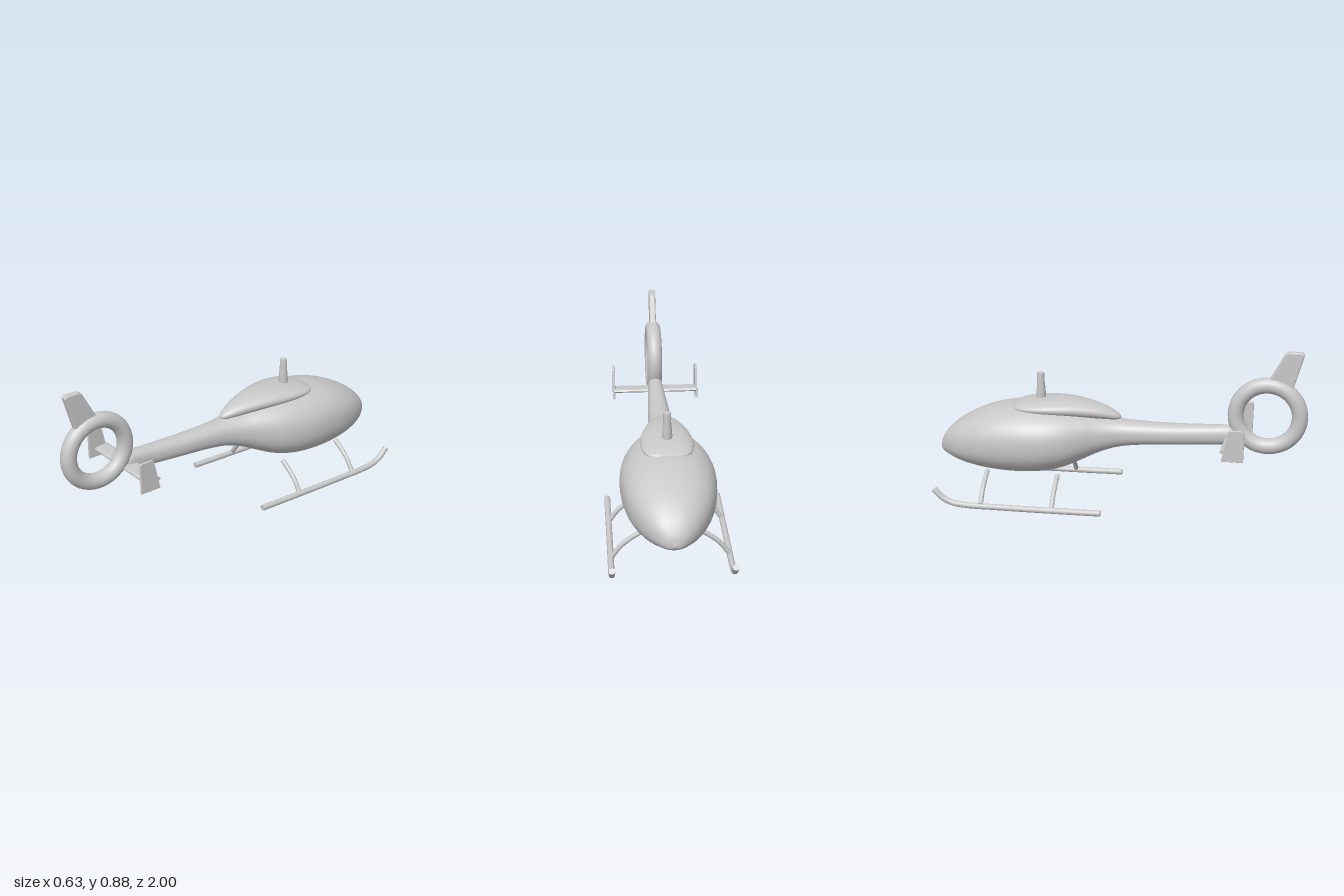
import * as THREE from 'three';

const paint = new THREE.MeshStandardMaterial({ color: 0xc8c8c8 });
paint.name = 'light grey';

// Smooth hull through stations [z, bottom, top, halfWidth] with superelliptic sections
function loft(stations, power, steps, sides = 56) {
  const heights = new THREE.CatmullRomCurve3(
    stations.map(([z, b, t]) => new THREE.Vector3(z, b, t)), false, 'catmullrom', 0.5);
  const widths = new THREE.CatmullRomCurve3(
    stations.map(([z, , , w]) => new THREE.Vector3(z, w, 0)), false, 'catmullrom', 0.5);
  const pos = [], index = [];
  const round = (v) => Math.sign(v) * Math.abs(v) ** (2 / power);
  for (let i = 0; i <= steps + 1; i++) {
    const t = Math.min(i / steps, 1);
    const h = heights.getPoint(t), w = widths.getPoint(t).y;
    const k = i > steps ? 0 : 1; // last ring closes the end
    for (let j = 0; j < sides; j++) {
      const a = (j / sides) * Math.PI * 2;
      pos.push(k * w * round(Math.cos(a)),
        (h.y + h.z) / 2 + k * (h.z - h.y) / 2 * round(Math.sin(a)),
        h.x + (k ? 0 : 0.004));
    }
  }
  for (let i = 0; i <= steps; i++) {
    for (let j = 0; j < sides; j++) {
      const a = i * sides + j, b = i * sides + (j + 1) % sides;
      index.push(a, b, a + sides, b, b + sides, a + sides);
    }
  }
  const geo = new THREE.BufferGeometry();
  geo.setAttribute('position', new THREE.Float32BufferAttribute(pos, 3));
  geo.setIndex(index);
  geo.computeVertexNormals();
  return geo;
}

// Upright plate outlined in (z, y), centred on x = 0
function plate(outline, thickness, bevel) {
  const shape = new THREE.Shape(outline.map(([z, y]) => new THREE.Vector2(z, y)));
  const depth = thickness - 2 * bevel;
  const geo = new THREE.ExtrudeGeometry(shape, {
    depth, bevelEnabled: true, bevelSize: bevel, bevelThickness: bevel,
    bevelOffset: -bevel, bevelSegments: 3,
  });
  geo.translate(0, 0, -depth / 2);
  geo.rotateY(-Math.PI / 2);
  return geo;
}

// Round bar with closed ends
function bar(points, radius, segments) {
  const group = new THREE.Group();
  const curve = new THREE.CatmullRomCurve3(points.map((p) => new THREE.Vector3(...p)));
  group.add(new THREE.Mesh(new THREE.TubeGeometry(curve, segments, radius, 16), paint));
  for (const end of [0, 1]) {
    const cap = new THREE.Mesh(new THREE.CircleGeometry(radius, 16), paint);
    const out = curve.getTangent(end).multiplyScalar(end ? 1 : -1);
    cap.position.copy(curve.getPoint(end));
    cap.quaternion.setFromUnitVectors(new THREE.Vector3(0, 0, 1), out);
    group.add(cap);
  }
  return group;
}

export function createModel() {
  const model = new THREE.Group();
  model.name = 'helicopter';
  const add = (name, part) => {
    const object = part.isBufferGeometry ? new THREE.Mesh(part, paint) : part;
    object.name = name;
    model.add(object);
    return object;
  };

  // Cabin flowing into the tail boom, nose towards -z
  add('fuselage', loft([
    [-1, 0.24, 0.24, 0], [-0.985, 0.216, 0.295, 0.052], [-0.94, 0.198, 0.358, 0.108],
    [-0.86, 0.172, 0.42, 0.163], [-0.75, 0.154, 0.473, 0.21], [-0.63, 0.145, 0.508, 0.236],
    [-0.5, 0.146, 0.522, 0.245], [-0.38, 0.16, 0.52, 0.234], [-0.28, 0.188, 0.51, 0.205],
    [-0.19, 0.23, 0.493, 0.16], [-0.1, 0.273, 0.472, 0.113], [0, 0.306, 0.456, 0.08],
    [0.12, 0.324, 0.45, 0.067], [0.28, 0.336, 0.45, 0.059], [0.45, 0.348, 0.456, 0.05],
    [0.62, 0.36, 0.465, 0.041],
  ], 2.3, 90));

  // Engine cowling on the roof
  add('engineCowling', loft([
    [-0.57, 0.5, 0.519, 0.06], [-0.55, 0.49, 0.529, 0.1], [-0.5, 0.478, 0.543, 0.125],
    [-0.41, 0.47, 0.557, 0.135], [-0.3, 0.465, 0.562, 0.122], [-0.2, 0.461, 0.554, 0.096],
    [-0.1, 0.457, 0.532, 0.064], [-0.03, 0.455, 0.503, 0.036], [0, 0.458, 0.484, 0.018],
    [0.01, 0.467, 0.47, 0.002],
  ], 2.1, 54));

  // Rotor mast
  const mastProfile = [[0.024, 0], [0.026, 0.04], [0.023, 0.08], [0.02, 0.11], [0.02, 0.162],
    [0.017, 0.165], [0, 0.165]].map(([r, y]) => new THREE.Vector2(r, y));
  add('rotorMast', new THREE.LatheGeometry(mastProfile, 24)).position.set(0, 0.527, -0.43);

  // Tail rotor ring and the fin above it
  const ring = add('tailRing', new THREE.TorusGeometry(0.168, 0.042, 28, 72));
  ring.rotation.y = Math.PI / 2;
  ring.position.set(0, 0.527, 0.79);
  add('tailFin', plate(
    [[0.915, 0.68], [0.79, 0.725], [0.87, 0.872], [0.888, 0.883], [0.955, 0.883], [0.97, 0.872]],
    0.035, 0.008));

  // Horizontal stabilizer
  const stabilizer = add('stabilizer', plate(
    [[0.57, 0.397], [0.576, 0.405], [0.59, 0.408], [0.645, 0.405], [0.66, 0.398],
      [0.66, 0.39], [0.59, 0.387], [0.576, 0.389]], 0.47, 0.001));
  stabilizer.position.y = 0;

  for (const side of [-1, 1]) {
    const label = side > 0 ? 'left' : 'right';
    // Stabilizer end plates
    add(label + 'EndPlate', plate(
      [[0.577, 0.348], [0.692, 0.348], [0.695, 0.512], [0.688, 0.519], [0.622, 0.519], [0.613, 0.512]],
      0.013, 0.003)).position.x = side * 0.237;

    // Landing skid with upturned front
    add(label + 'Skid', bar([
      [side * 0.3, 0.029, -0.045], [side * 0.3, 0.023, -0.3], [side * 0.3, 0.018, -0.6],
      [side * 0.3, 0.017, -0.78], [side * 0.3, 0.024, -0.85], [side * 0.3, 0.046, -0.905],
      [side * 0.3, 0.095, -0.957],
    ], 0.016, 60));

    // Curved struts
    for (const [name, z] of [['FrontStrut', -0.7], ['RearStrut', -0.31]]) {
      add(label + name, bar([
        [side * 0.15, 0.166, z], [side * 0.2, 0.134, z],
        [side * 0.25, 0.092, z], [side * 0.296, 0.03, z],
      ], 0.0125, 20));
    }
  }
  return model;
}
